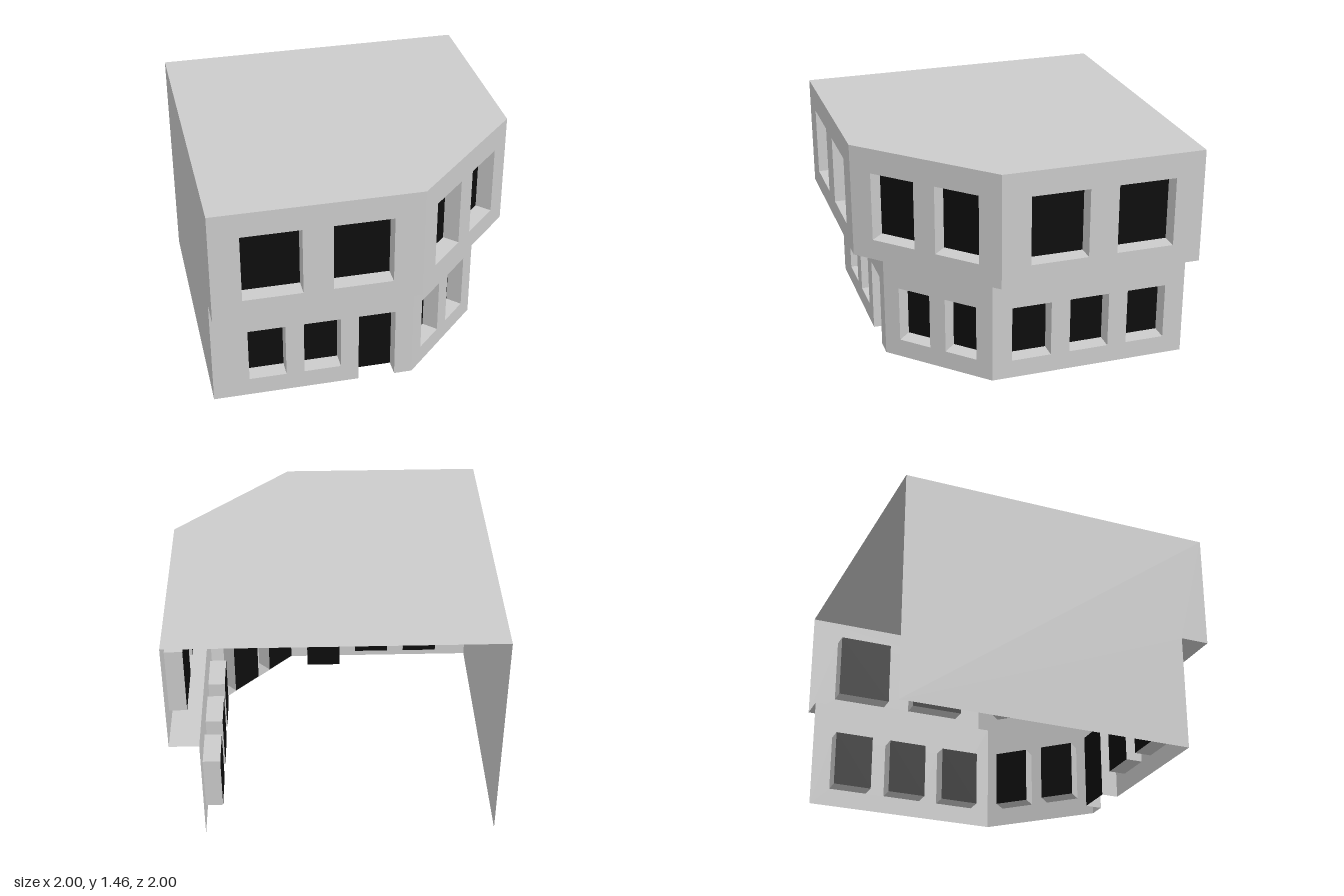
import * as THREE from 'three';

const grey = new THREE.MeshStandardMaterial({ color: 0xcccccc, side: THREE.DoubleSide, flatShading: true });
const black = new THREE.MeshStandardMaterial({ color: 0x0d0d0d, side: THREE.DoubleSide });

const FLOOR = 0.727, TOP = 1.455, DEPTH = 0.108; // storey heights, window recess
const CUT = 0.273, LOW = 0.818;                  // corner chamfer, lower wall line

const points = (list) => list.map(([x, y]) => new THREE.Vector2(x, y));

function mesh(name, geometry, material = grey) {
  const m = new THREE.Mesh(geometry, material);
  m.name = name;
  return m;
}

// Horizontal sheet from an [x, z] outline
function slab(name, outline, y, up) {
  const g = new THREE.ShapeGeometry(new THREE.Shape(points(outline.map(([x, z]) => [x, up ? -z : z]))));
  g.rotateX(up ? -Math.PI / 2 : Math.PI / 2);
  return mesh(name, g.translate(0, y, 0));
}

// Flat pane, with a jamb on each side, a head and (unless a door) a sill
function recess(u0, u1, y0, y1, isDoor) {
  const group = new THREE.Group();
  group.name = isDoor ? 'door' : 'window';
  const w = u1 - u0, h = y1 - y0, u = (u0 + u1) / 2, y = (y0 + y1) / 2;
  for (const s of [-1, 1]) {
    const jamb = new THREE.PlaneGeometry(DEPTH, h).rotateY(-s * Math.PI / 2);
    group.add(mesh('jamb', jamb.translate(u + s * w / 2, y, -DEPTH / 2)));
    if (s < 0 && isDoor) continue;
    const edge = new THREE.PlaneGeometry(w, DEPTH).rotateX(s * Math.PI / 2);
    group.add(mesh(s > 0 ? 'head' : 'sill', edge.translate(u, y + s * h / 2, -DEPTH / 2)));
  }
  group.add(mesh('pane', new THREE.PlaneGeometry(w, h).translate(u, y, -DEPTH), black));
  return group;
}

// Wall from a to b ([x, z], outside on the right-hand side), openings measured along it
function wall(name, a, b, y0, y1, spans, sill, head, door) {
  const dx = b[0] - a[0], dz = b[1] - a[1], length = Math.hypot(dx, dz);
  const group = new THREE.Group();
  group.name = name;
  const notch = door ? [[door[0], y0], [door[0], head], [door[1], head], [door[1], y0]] : [];
  const shape = new THREE.Shape(points([[0, y0], ...notch, [length, y0], [length, y1], [0, y1]]));
  for (const [u0, u1] of spans) {
    shape.holes.push(new THREE.Path(points([[u0, sill], [u0, head], [u1, head], [u1, sill]])));
    group.add(recess(u0, u1, sill, head, false));
  }
  if (door) group.add(recess(door[0], door[1], y0, head, true));
  group.add(mesh('wallFace', new THREE.ShapeGeometry(shape)));
  group.position.set(a[0], 0, a[1]);
  group.rotation.y = Math.atan2(-dz, dx);
  return group;
}

export function createModel() {
  const model = new THREE.Group();
  model.name = 'cornerBuilding';
  const along = (start, scale, list) => list.map((s) => s.map((v) => (v - start) * scale));

  // Upper storey
  const up = [FLOOR, TOP], upWin = [0.858, 1.297];
  model.add(
    wall('upperFrontWall', [-1, 1], [CUT, 1], ...up,
      along(-1, 1, [[-0.818, -0.455], [-0.273, 0.091]]), ...upWin),
    wall('upperCornerWall', [CUT, 1], [1, CUT], ...up,
      along(CUT, Math.SQRT2, [[0.375, 0.584], [0.685, 0.894]]), ...upWin),
    wall('upperRightWall', [1, CUT], [1, -1], ...up,
      along(CUT, -1, [[0.091, -0.273], [-0.455, -0.818]]), ...upWin));

  // Lower storey, set back
  const low = [0, FLOOR], lowWin = [0.12, 0.487];
  model.add(
    wall('lowerFrontWall', [-1, LOW], [CUT, LOW], ...low,
      along(-1, 1, [[-0.772, -0.538], [-0.423, -0.19]]), ...lowWin, [0.924, 1.158]),
    wall('lowerCornerWall', [CUT, LOW], [LOW, CUT], ...low,
      along(CUT, Math.SQRT2, [[0.35, 0.506], [0.584, 0.739]]), ...lowWin),
    wall('lowerRightWall', [LOW, CUT], [LOW, -1], ...low,
      along(CUT, -1, [[0.145, -0.111], [-0.235, -0.491], [-0.616, -0.871]]), ...lowWin));

  // Roof and overhang; the back and the base stay open
  model.add(
    slab('roof', [[-1, 1], [CUT, 1], [1, CUT], [1, -1], [-1, -1]], TOP, true),
    slab('overhang', [[-1, LOW], [CUT, LOW], [LOW, CUT], [LOW, -1],
      [1, -1], [1, CUT], [CUT, 1], [-1, 1]], FLOOR, false));

  // Blank stepped side wall
  const side = new THREE.Shape(points([[-1, 0], [LOW, 0], [LOW, FLOOR], [1, FLOOR], [1, TOP], [-1, TOP]]));
  model.add(mesh('blankSideWall', new THREE.ShapeGeometry(side).rotateY(-Math.PI / 2).translate(-1, 0, 0)));
  return model;
}
